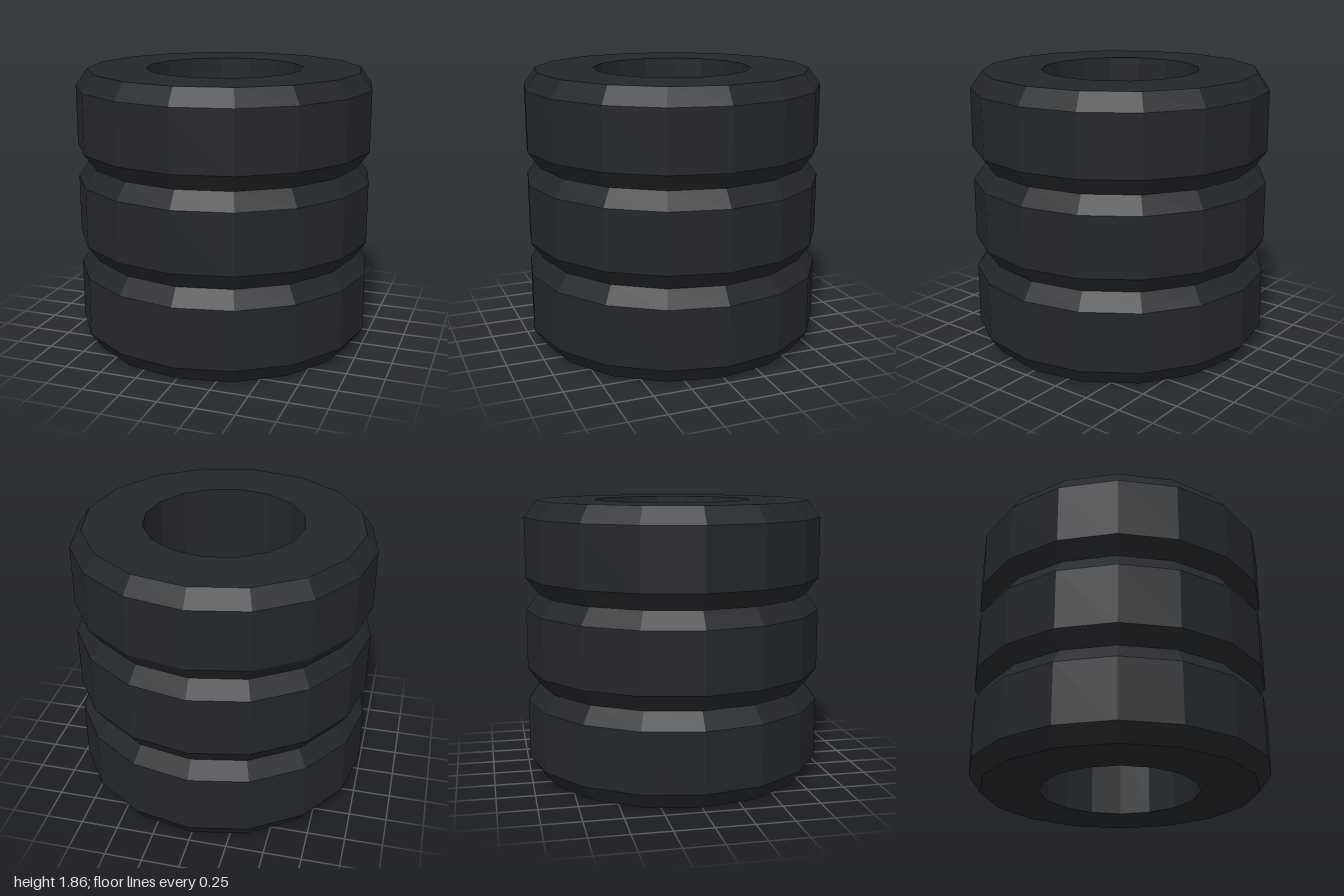
import * as THREE from 'three';

const SIDES = 16;
const TYRE_HEIGHT = 0.62;
const TYRE_COUNT = 3;
const HOLE = 0.53, SHOULDER = 0.92, TREAD = 1, BEVEL = 0.11;

// Closed cross-section of one tyre: flat sidewalls, bevelled shoulders, straight bore
function tyreGeometry() {
  const profile = [
    [HOLE, 0],
    [SHOULDER, 0],
    [TREAD, BEVEL],
    [TREAD, TYRE_HEIGHT - BEVEL],
    [SHOULDER, TYRE_HEIGHT],
    [HOLE, TYRE_HEIGHT],
    [HOLE, 0],
  ].map(([r, y]) => new THREE.Vector2(r, y));
  return new THREE.LatheGeometry(profile, SIDES);
}

export function createModel() {
  const group = new THREE.Group();
  group.name = 'tyreStack';
  const rubber = new THREE.MeshStandardMaterial({ color: 0x23262a, flatShading: true });
  const geometry = tyreGeometry();

  // Identical tyres stacked on one another
  for (let i = 0; i < TYRE_COUNT; i++) {
    const tyre = new THREE.Mesh(geometry, rubber);
    tyre.name = `tyre${i + 1}`;
    tyre.position.y = i * TYRE_HEIGHT;
    group.add(tyre);
  }
  return group;
}
